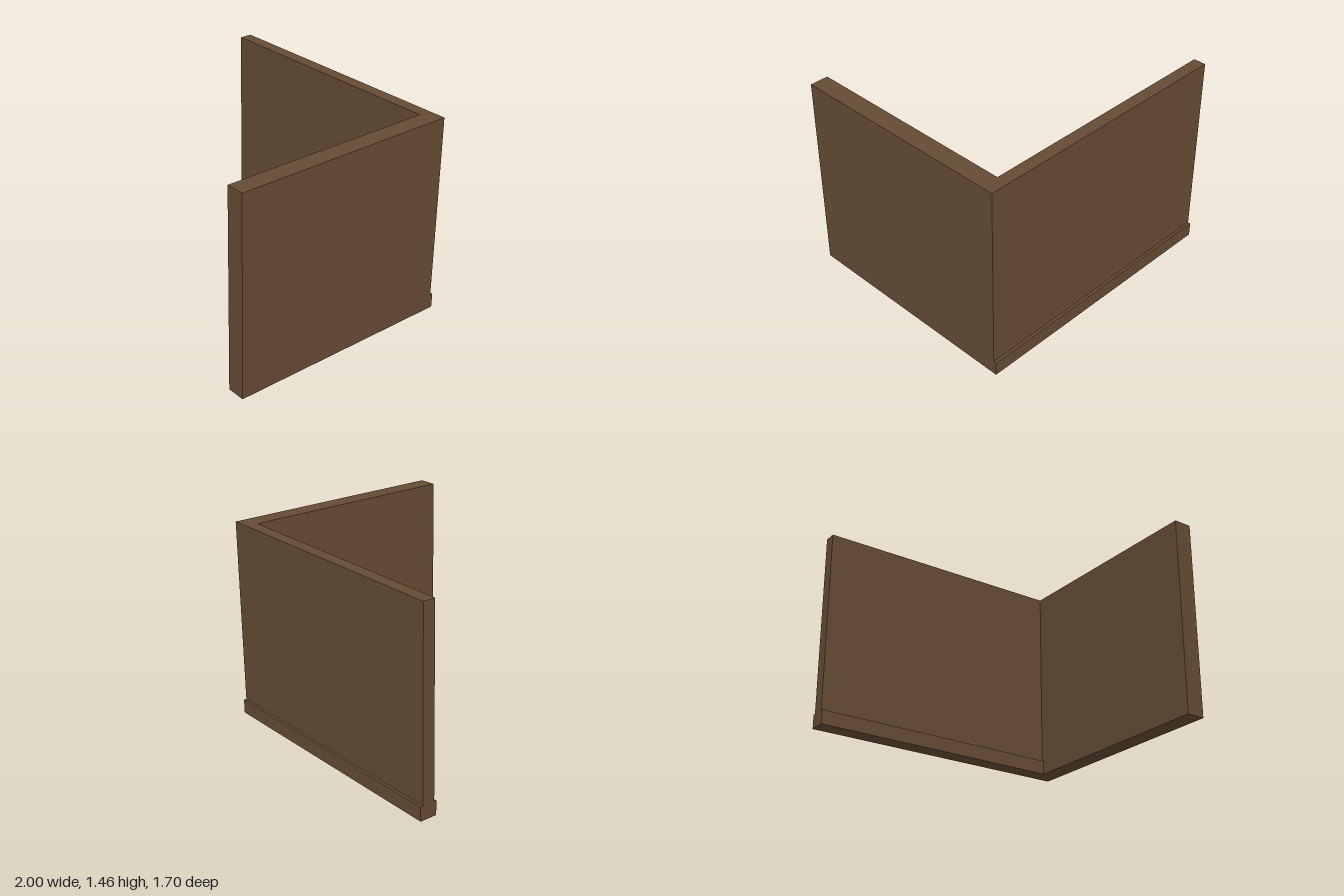
import * as THREE from 'three';

export function createModel() {
  const model = new THREE.Group();
  model.name = 'cornerWall';
  const brown = new THREE.MeshStandardMaterial({ color: 0x644b34 });
  brown.name = 'brown';

  // Slight fall of the whole wall towards the front
  const tilt = (geometry) => {
    const p = geometry.attributes.position;
    for (let i = 0; i < p.count; i++) p.setY(i, p.getY(i) - 0.004 * (p.getZ(i) + 0.85));
    geometry.computeVertexNormals();
    return geometry;
  };

  const add = (name, geometry) => {
    const mesh = new THREE.Mesh(tilt(geometry), brown);
    mesh.name = name;
    model.add(mesh);
  };

  // L-shaped wall: long back panel and thicker side panel, plan in x and z
  const plan = [[-1, -0.83], [1, -0.83], [1, 0.85], [0.865, 0.85], [0.865, -0.74], [-1, -0.74]];
  const shape = new THREE.Shape(plan.map(([x, z]) => new THREE.Vector2(x, -z)));
  const wall = new THREE.ExtrudeGeometry(shape, { depth: 1.455, bevelEnabled: false });
  wall.rotateX(-Math.PI / 2).translate(0, 0.007, 0);
  add('walls', wall);

  // Skirting along both faces of the back panel
  const skirting = new THREE.BoxGeometry(2, 0.103, 0.127);
  skirting.translate(0, 0.007 + 0.0515, -0.7865);
  add('skirting', skirting);

  return model;
}
